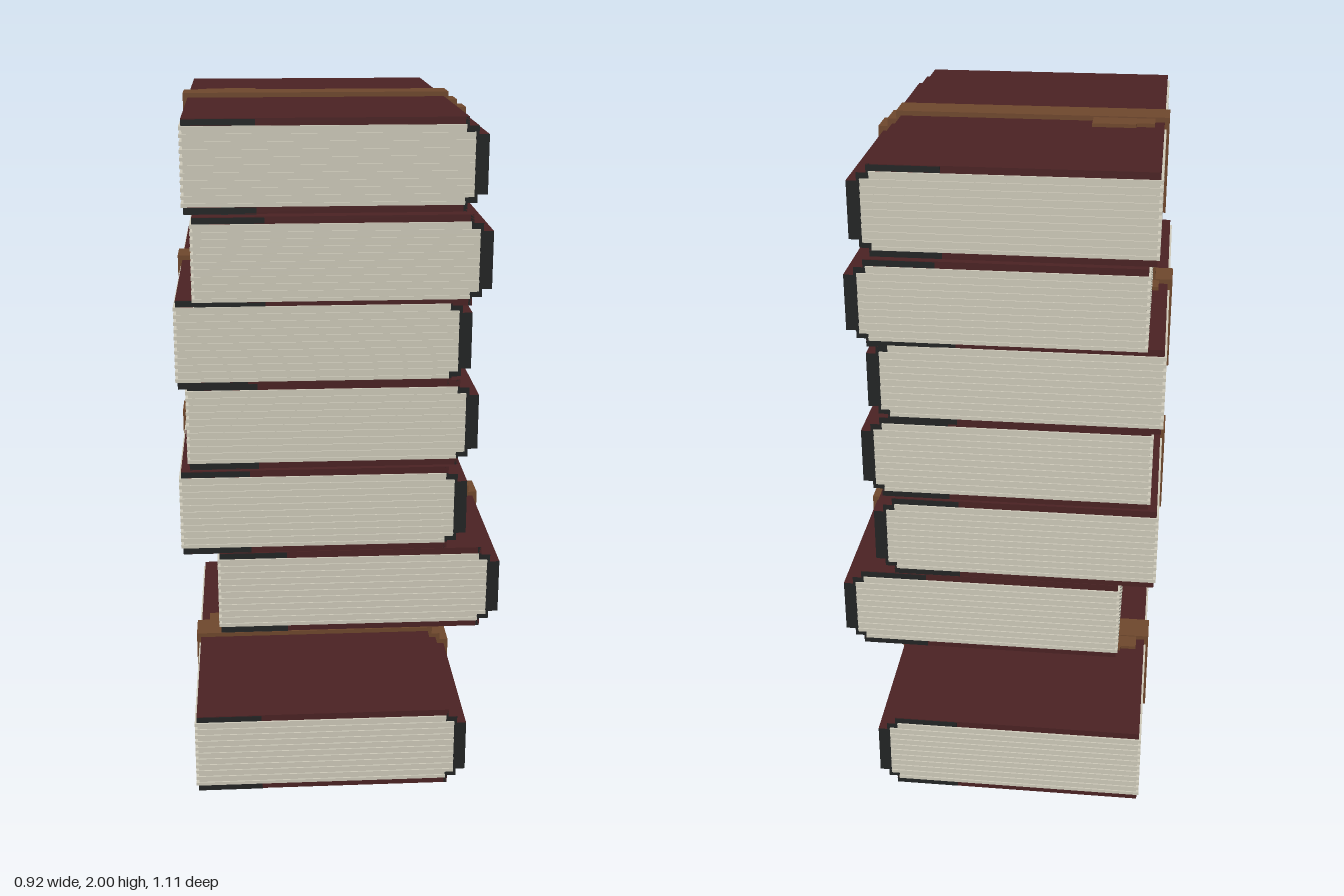
import * as THREE from 'three';

const mat = (name, color) => {
  const m = new THREE.MeshStandardMaterial({ color });
  m.name = name;
  return m;
};

// Closed outline of a book: square at the left, stepped at the spine, grown by g
function outline(g, Kind, left = -0.398) {
  const steps = [[0.345, 0.123], [0.371, 0.1], [0.398, 0.078]];
  const pts = [[left - g, -0.123 - g]];
  steps.forEach(([x, y], i) => {
    pts.push([x + g, -y - g]);
    if (steps[i + 1]) pts.push([x + g, -steps[i + 1][1] - g]);
  });
  const upper = pts.map(([x, y]) => [x, -y]).reverse();
  return new Kind([...pts, ...upper].map(([x, y]) => new THREE.Vector2(x, y)));
}

function extrude(shape, z0, z1) {
  const geo = new THREE.ExtrudeGeometry(shape, { depth: z1 - z0, bevelEnabled: false });
  return geo.translate(0, 0, z0);
}

function box(x0, x1, y0, y1, z0, z1) {
  return new THREE.BoxGeometry(x1 - x0, y1 - y0, z1 - z0)
    .translate((x0 + x1) / 2, (y0 + y1) / 2, (z0 + z1) / 2);
}

export function createModel() {
  const leather = mat('maroon leather', 0x4a2223);
  const strapMat = mat('brown strap', 0x6e472c);
  const paper = mat('paper', 0xccc8b8);
  const black = mat('black lining', 0x222424);

  const D = 0.55; // half depth of the covers

  // Geometries shared by every book
  const spineGeo = extrude(outline(0, THREE.Shape, 0.335), -D, D);
  const strapShape = outline(0.0135, THREE.Shape);
  strapShape.holes.push(outline(-0.001, THREE.Path));
  const strapGeo = extrude(strapShape, -0.054, 0.044);
  const flapGeo = box(-0.322, -0.2, 0.12, 0.133, -0.123, -0.05);
  const flapEndGeo = box(-0.372, -0.322, 0.12, 0.133, -0.111, -0.05);
  const corner = new THREE.Shape();
  corner.moveTo(0, 0);
  corner.lineTo(0.19, 0);
  corner.absarc(0, 0, 0.19, 0, Math.PI / 2, false);
  corner.lineTo(0, 0);
  const cornerGeo = new THREE.ShapeGeometry(corner, 8)
    .rotateX(Math.PI / 2).scale(1, 1, -1).translate(-0.398, -0.1245, D);
  const cornerMat = black;
  cornerMat.side = THREE.DoubleSide;

  function makeBook() {
    const book = new THREE.Group();
    const add = (name, geo, material) => {
      const mesh = new THREE.Mesh(geo, material);
      mesh.name = name;
      book.add(mesh);
    };

    // Boards with a short black stretch on opposite edges
    for (const s of [-1, 1]) {
      const y0 = s > 0 ? 0.104 : -0.123;
      const y1 = y0 + 0.019;
      add(s > 0 ? 'topCover' : 'bottomCover', box(-0.398, 0.345, y0, y1, -D, D), leather);
      add('frontEdgePatch', box(-0.398, -0.208, y0 + 0.001, y1 - 0.002, D - 0.002, D + 0.002), black);
      add('backEdgePatch', box(0.155, 0.345, y0 + 0.001, y1 - 0.002, -D - 0.002, -D + 0.002), black);
    }
    add('bottomCornerPatch', cornerGeo, cornerMat);

    // Spine with dark ends
    add('spine', spineGeo, [black, leather]);

    // Page block: alternating proud and recessed layers
    const layers = 21, h = 0.208 / layers;
    for (let i = 0; i < layers; i++) {
      const y = -0.104 + i * h;
      const inset = i % 2 ? 0.008 : 0;
      const right = Math.abs(y + h / 2) < 0.085 ? 0.362 : 0.338;
      add('pages', box(-0.404 + inset, right, y, y + h, -0.556 + inset / 2, 0.556 - inset / 2), paper);
    }

    // Strap around the book and its fastening flap
    add('strap', strapGeo, strapMat);
    add('strapFlap', flapGeo, strapMat);
    add('strapFlapEnd', flapEndGeo, strapMat);
    return book;
  }

  // Lowest book, a gap, then the stack of six: [x, y of centre]
  const places = [
    [-0.03, 0.1365], [0.05, 0.657], [-0.05, 0.904], [-0.025, 1.156],
    [-0.05, 1.389], [0, 1.61], [-0.02, 1.8635],
  ];
  const model = new THREE.Group();
  model.name = 'bookStack';
  places.forEach(([x, y], i) => {
    const book = makeBook();
    book.name = `book${i + 1}`;
    book.position.set(x, y, 0);
    model.add(book);
  });
  return model;
}
